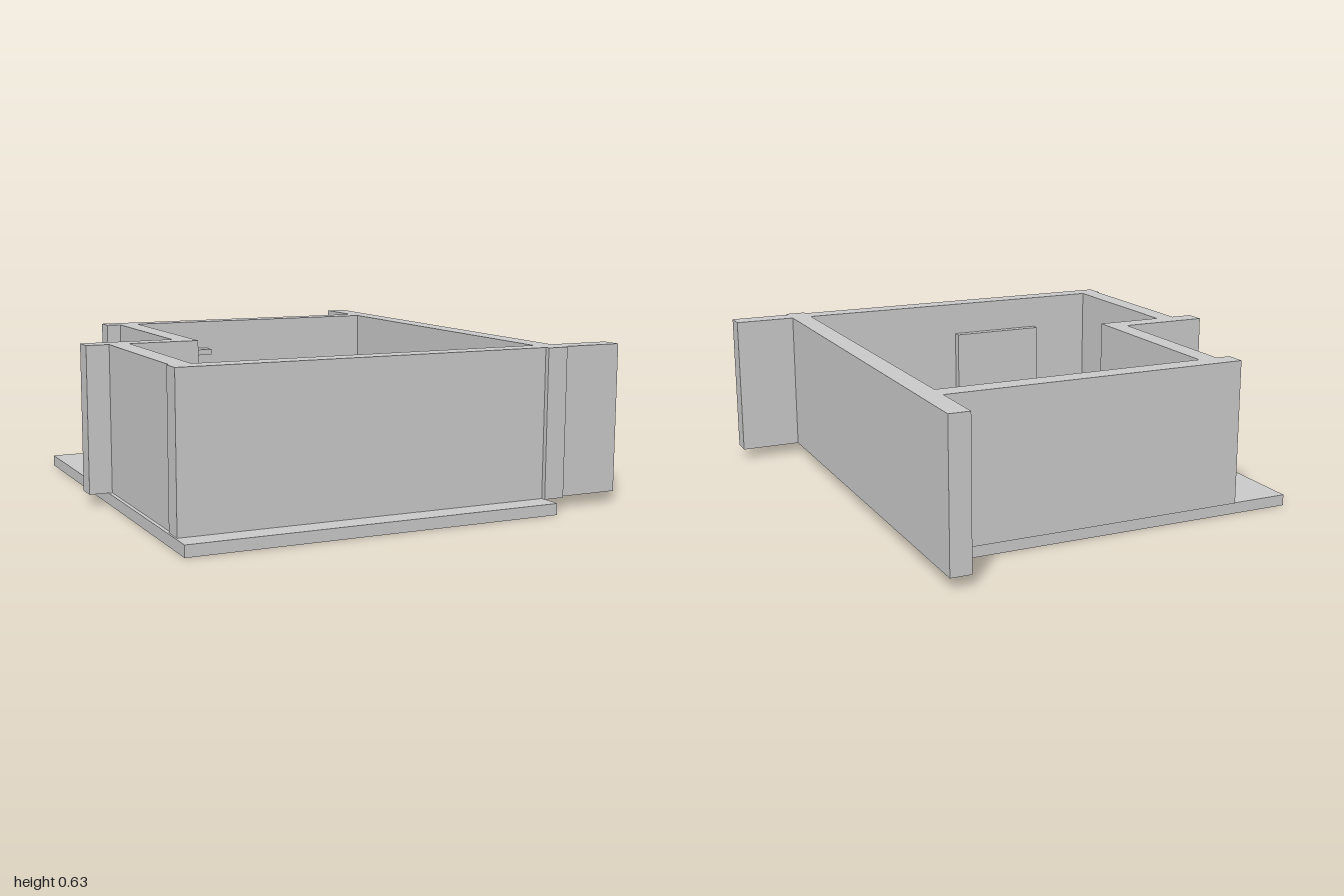
import * as THREE from 'three';

export function createModel() {
  const model = new THREE.Group();
  const material = new THREE.MeshStandardMaterial({ color: 0xcccccc, flatShading: true });
  const FLOOR = 0.045, TOP = 0.632;

  const add = (name, geometry, x, y, z, angle = 0) => {
    const mesh = new THREE.Mesh(geometry, material);
    mesh.name = name;
    mesh.position.set(x, y, z);
    mesh.rotation.y = angle;
    model.add(mesh);
  };

  // Box given by its limits along each axis
  const block = (name, x0, x1, y0, y1, z0, z1) =>
    add(name, new THREE.BoxGeometry(x1 - x0, y1 - y0, z1 - z0),
      (x0 + x1) / 2, (y0 + y1) / 2, (z0 + z1) / 2);

  // Upright cylinder standing on the floor
  const drum = (name, radius, top, x, z, sides) =>
    add(name, new THREE.CylinderGeometry(radius, radius, top - FLOOR, sides),
      x, (top + FLOOR) / 2, z);

  // Floor slab
  block('floor', -0.88, 0.62, 0, FLOOR, -0.75, 1);

  // Walls: name, x range, z range
  const walls = [
    ['leftLongWall', 0.615, 0.7, -1, 0.925],
    ['backWall', -0.64, 0.615, -0.755, -0.672],
    ['innerWall', -0.58, -0.498, -0.672, 0.03],
    ['stepWall', -0.957, -0.498, 0.03, 0.115],
    ['rightWall', -0.865, -0.783, 0.115, 0.82],
    ['frontWall', -0.873, 0.953, 0.82, 0.905],
  ];
  for (const [name, x0, x1, z0, z1] of walls) block(name, x0, x1, FLOOR, TOP, z0, z1);

  // Shelves on the back wall and the inner wall
  for (const top of [0.51, 0.39, 0.27]) {
    block('backShelf', -0.48, -0.17, top - 0.025, top, -0.672, -0.602);
  }
  block('sideShelf', -0.498, -0.43, 0.25, 0.275, -0.21, 0.085);

  // Counter, couch, wall panel, cabinet and post
  block('counter', -0.498, 0, FLOOR, 0.17, -0.42, -0.24);
  block('couch', -0.758, -0.582, FLOOR, 0.17, 0.225, 0.725);
  block('wallPanel', -0.51, -0.095, 0.2, 0.49, 0.785, 0.82);
  block('cabinet', 0.577, 0.63, 0.04, 0.365, -0.24, -0.06);
  block('post', 0.53, 0.572, FLOOR, 0.435, 0.02, 0.062);

  // Round table and a small round stand
  drum('table', 0.206, 0.155, 0.176, 0.412, 20);
  drum('stand', 0.05, 0.25, 0.132, 0.058, 20);

  // Chairs around the table: x, z, turn
  const chairs = [
    [-0.035, 0.172, 0.8], [0.291, 0.12, -0.33], [0.462, 0.305, -0.33],
    [-0.088, 0.408, 0.02], [-0.02, 0.647, 0.75], [0.327, 0.687, 0.52],
  ];
  for (const [x, z, turn] of chairs) {
    add('chair', new THREE.BoxGeometry(0.11, 0.165 - FLOOR, 0.11), x, (0.165 + FLOOR) / 2, z, turn);
  }

  return model;
}
